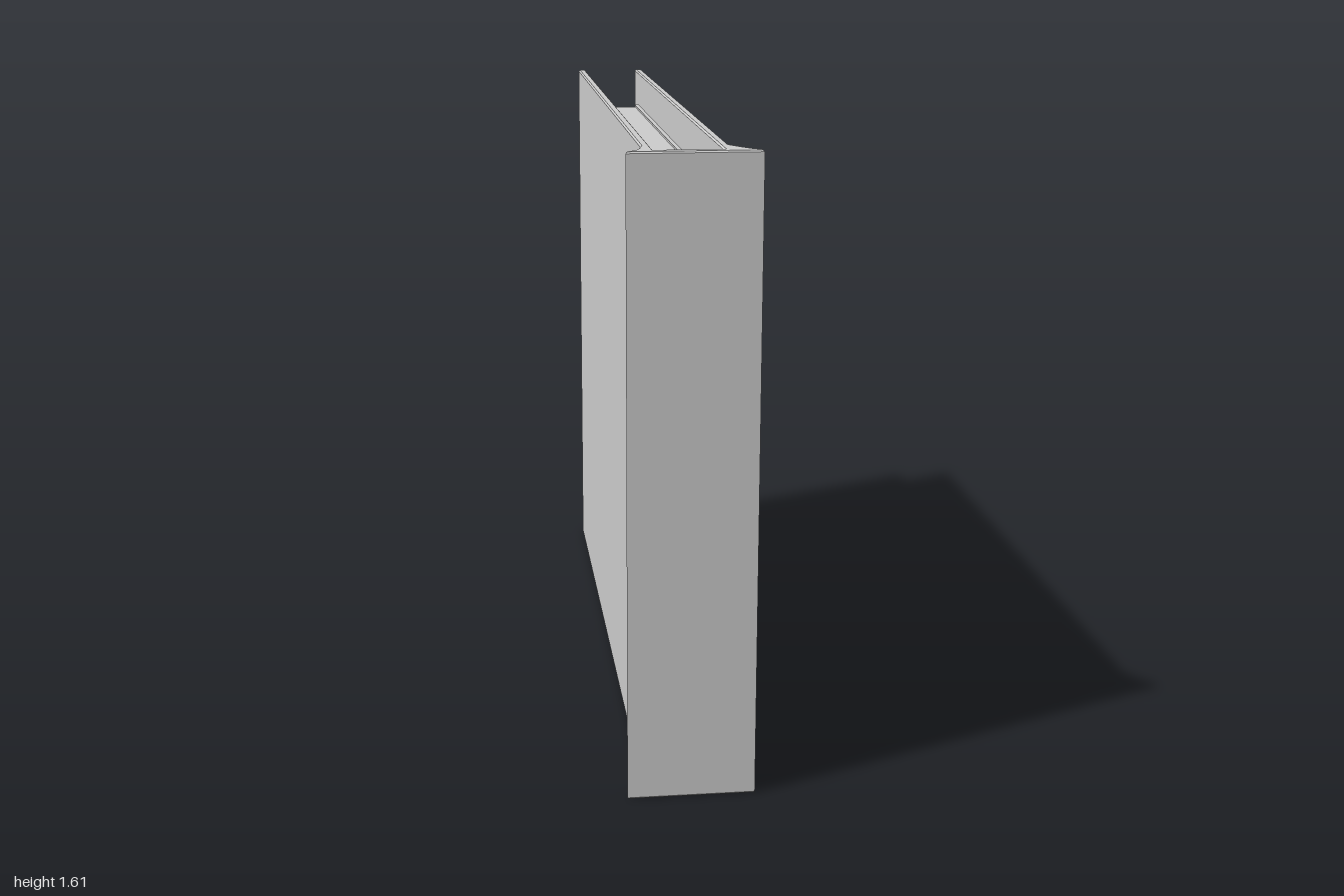
import * as THREE from 'three';

const HEIGHT = 1.61;
const BEVEL = 0.004;

export function createModel() {
  const model = new THREE.Group();
  const grey = new THREE.MeshStandardMaterial({ color: 0xcccccc, flatShading: true });

  function addBox(name, x0, x1, y0, y1, z0, z1) {
    const mesh = new THREE.Mesh(new THREE.BoxGeometry(x1 - x0, y1 - y0, z1 - z0), grey);
    mesh.name = name;
    mesh.position.set((x0 + x1) / 2, (y0 + y1) / 2, (z0 + z1) / 2);
    model.add(mesh);
  }

  // Cover: two boards joined by a flared spine, a U in plan [x, z] raised along y
  const plan = [
    [-0.16, 1], [0.16, 1], [0.158, 0.985], [0.137, 0.965], [0.113, 0.93], [0.093, 0.895],
    [0.093, -1], [0.071, -1], [0.071, 0.968],
    [-0.093, 0.968], [-0.093, -1], [-0.115, -1],
    [-0.115, 0.89], [-0.125, 0.94], [-0.137, 0.97], [-0.158, 0.988],
  ];
  const outline = new THREE.Shape(plan.map(([x, z]) => new THREE.Vector2(x, -z)));
  const coverGeometry = new THREE.ExtrudeGeometry(outline, {
    depth: HEIGHT - 2 * BEVEL,
    bevelEnabled: true,
    bevelThickness: BEVEL,
    bevelSize: BEVEL,
    bevelOffset: -BEVEL,
    bevelSegments: 1,
  });
  coverGeometry.rotateX(-Math.PI / 2);
  coverGeometry.translate(0, BEVEL, 0);
  const cover = new THREE.Mesh(coverGeometry, grey);
  cover.name = 'cover';
  model.add(cover);

  // Page block, set in from the cover at top, bottom and back
  addBox('pageBlock', -0.084, 0.06, 0.11, HEIGHT - 0.11, -0.88, 0.97);

  // Endpapers between the block and each board, standing slightly proud
  addBox('rightEndpaper', -0.094, -0.083, 0.104, HEIGHT - 0.104, -0.888, 0.97);
  addBox('leftEndpaper', 0.059, 0.072, 0.104, HEIGHT - 0.104, -0.888, 0.97);

  return model;
}
